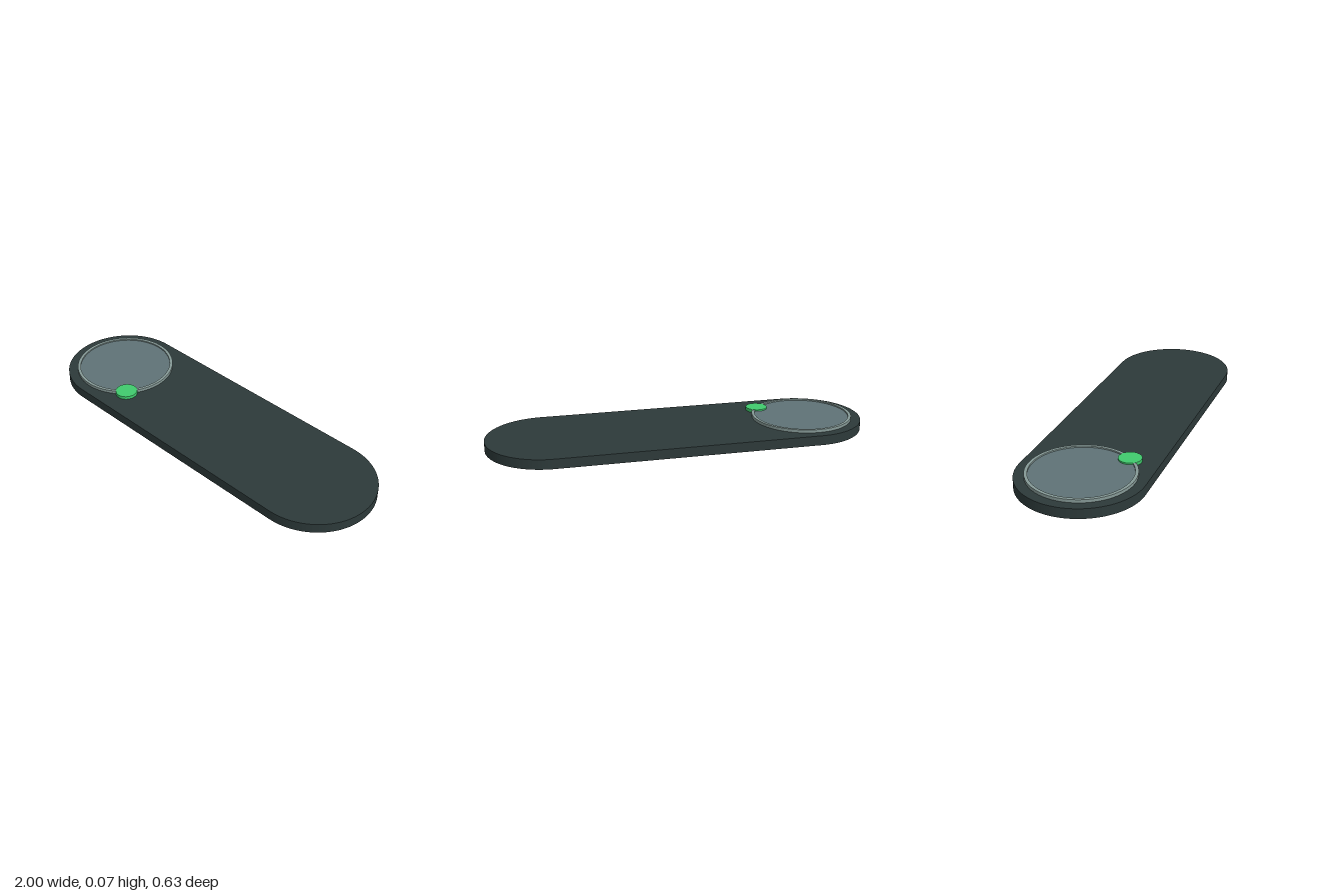
import * as THREE from 'three';

const R = 0.316;          // end radius of the base
const PIVOT = 1 - R;      // centre of each rounded end
const BASE_H = 0.051;
const TOP = 0.067;

function flatColour(name, color) {
  const m = new THREE.MeshStandardMaterial({ color });
  m.name = name;
  return m;
}

// Extrudes a plan shape upwards from y0 to y1
function slab(name, shape, y0, y1, material, segments) {
  const g = new THREE.ExtrudeGeometry(shape, { depth: y1 - y0, bevelEnabled: false, curveSegments: segments });
  g.rotateX(-Math.PI / 2);
  const mesh = new THREE.Mesh(g, material);
  mesh.name = name;
  mesh.position.y = y0;
  return mesh;
}

function disc(name, radius, y0, y1, x, z, material, segments) {
  const mesh = new THREE.Mesh(new THREE.CylinderGeometry(radius, radius, y1 - y0, segments), material);
  mesh.name = name;
  mesh.position.set(x, (y0 + y1) / 2, z);
  return mesh;
}

export function createModel() {
  const group = new THREE.Group();
  group.name = 'roundedBadge';
  const dark = flatColour('darkSlate', 0x2d3a3a);
  const grey = flatColour('paleGrey', 0x869a97);
  const glass = flatColour('slateGrey', 0x5f7377);
  const green = flatColour('green', 0x40cb6d);

  // Pill-shaped base
  const pill = new THREE.Shape();
  pill.absarc(PIVOT, 0, R, -Math.PI / 2, Math.PI / 2, false);
  pill.absarc(-PIVOT, 0, R, Math.PI / 2, Math.PI * 1.5, false);
  pill.closePath();
  group.add(slab('base', pill, 0, BASE_H, dark, 32));

  // Raised rim around the round panel
  const rim = new THREE.Shape().absarc(0, 0, 0.266, 0, Math.PI * 2, false);
  rim.holes.push(new THREE.Path().absarc(0, 0, 0.25, 0, Math.PI * 2, true));
  const rimMesh = slab('panelRim', rim, BASE_H, TOP, grey, 32);
  rimMesh.position.x = -PIVOT;
  group.add(rimMesh);

  // Round panel and its status dot
  group.add(disc('roundPanel', 0.25, BASE_H, 0.06, -PIVOT, 0, glass, 64));
  group.add(disc('statusDot', 0.058, BASE_H, TOP + 0.001, -0.485, 0.167, green, 24));
  return group;
}
